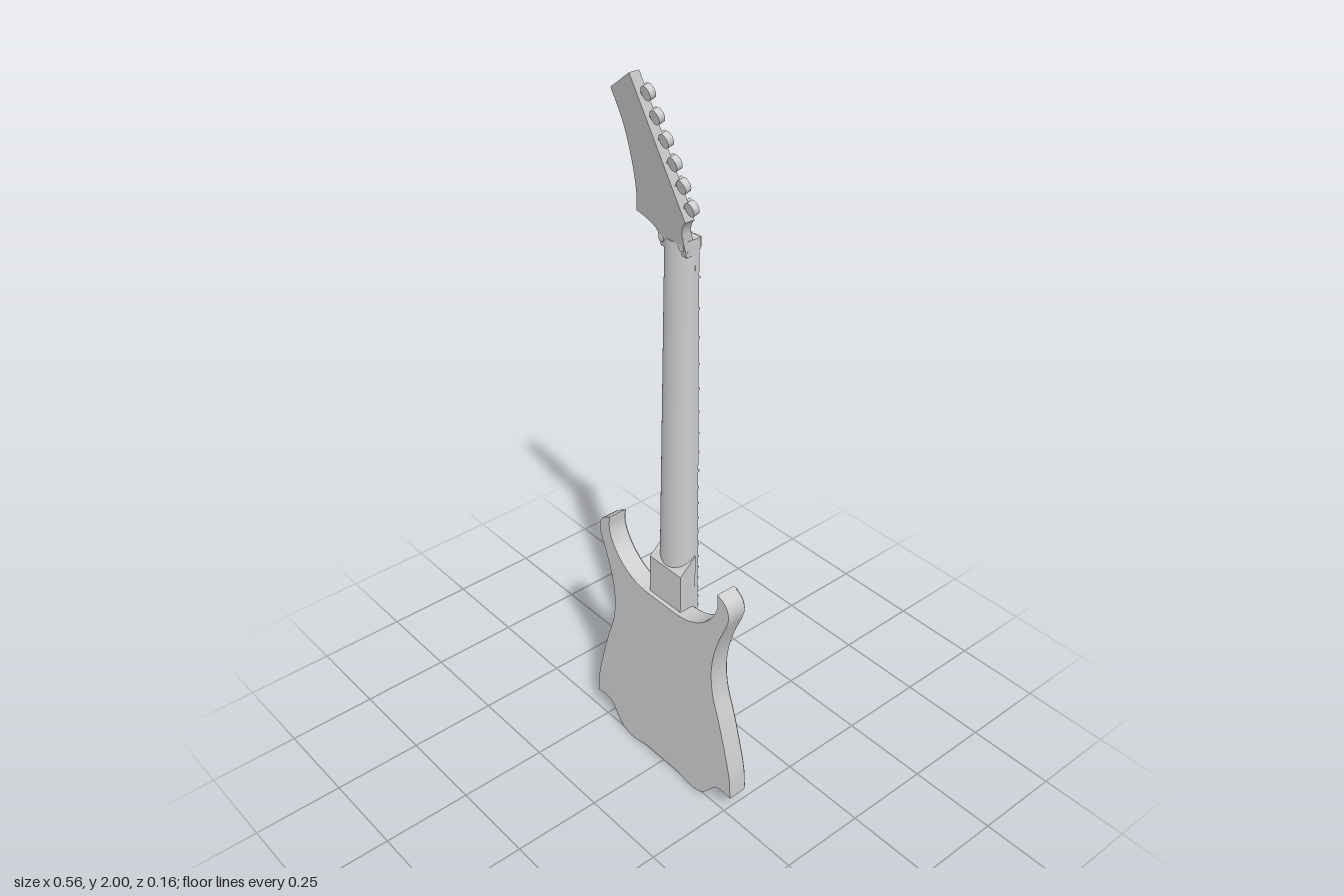
import * as THREE from 'three';
import { toCreasedNormals } from 'three/addons/utils/BufferGeometryUtils.js';

const material = new THREE.MeshStandardMaterial({ color: 0xcccccc });
const TILT = 0.25; // backward lean of the headstock, z per y

function add(parent, name, geometry, x = 0, y = 0, z = 0) {
  const mesh = new THREE.Mesh(geometry, material);
  mesh.name = name;
  mesh.position.set(x, y, z);
  parent.add(mesh);
  return mesh;
}

// Box given by its limits on each axis
function block(parent, name, x0, x1, y0, y1, z0, z1) {
  return add(parent, name, new THREE.BoxGeometry(x1 - x0, y1 - y0, z1 - z0),
    (x0 + x1) / 2, (y0 + y1) / 2, (z0 + z1) / 2);
}

// Cylinder lying along z; r0 at the -z end, r1 at the +z end
function pin(parent, name, r0, r1, x, y, z0, z1, sides = 12) {
  const g = new THREE.CylinderGeometry(r1, r0, z1 - z0, sides).rotateX(Math.PI / 2);
  return add(parent, name, g, x, y, (z0 + z1) / 2);
}

const polygon = pts => new THREE.Shape(pts.map(p => new THREE.Vector2(p[0], p[1])));
const slab = (shape, depth, opts = {}) =>
  new THREE.ExtrudeGeometry(shape, { depth, bevelEnabled: false, curveSegments: 8, ...opts });

// Symmetric body outline from smooth runs that meet at sharp corners
function bodyShape() {
  const runs = [
    [[0.065, 0.016], [0.09, 0.01], [0.13, 0.004], [0.17, 0.018], [0.195, 0.045], [0.22, 0.075], [0.245, 0.083], [0.28, 0.08]],
    [[0.28, 0.08], [0.274, 0.15], [0.253, 0.235], [0.228, 0.32], [0.203, 0.395], [0.195, 0.465], [0.203, 0.535], [0.225, 0.605], [0.253, 0.68], [0.243, 0.715], [0.211, 0.735]],
    [[0.211, 0.735], [0.211, 0.69], [0.185, 0.64], [0.145, 0.603], [0.1, 0.582], [0.06, 0.576]],
  ];
  const half = [];
  for (const run of runs) {
    const curve = new THREE.CatmullRomCurve3(run.map(p => new THREE.Vector3(p[0], p[1], 0)));
    const pts = curve.getPoints(run.length * 3);
    half.push(...(half.length ? pts.slice(1) : pts).map(p => [p.x, p.y]));
  }
  return polygon([...half, ...half.slice().reverse().map(([x, y]) => [-x, y])]);
}

function buildBody(root) {
  const body = new THREE.Group();
  body.name = 'body';
  root.add(body);
  const outline = bodyShape();
  add(body, 'bodySlab', toCreasedNormals(slab(outline, 0.049), 0.5), 0, 0, -0.041);
  // Rounded edge around the playing face
  const face = slab(outline, 0.001, {
    bevelEnabled: true, bevelThickness: 0.012, bevelSize: 0.011, bevelOffset: -0.011, bevelSegments: 3,
  });
  add(body, 'bodyFace', toCreasedNormals(face, 0.5), 0, 0, -0.041);
}

function buildNeck(root) {
  const neck = new THREE.Group();
  neck.name = 'neck';
  root.add(neck);
  // Half-round back, tapering towards the nut
  const shaft = new THREE.CylinderGeometry(0.045, 0.058, 0.92, 24, 1, false, -Math.PI / 2, Math.PI);
  shaft.scale(1, 1, 0.8);
  add(neck, 'neckShaft', shaft, 0, 1.14, -0.054);
  // Heel with a sloping upper end, drawn in profile (z, y)
  const heel = slab(polygon([[-0.054, 0.56], [-0.004, 0.56], [-0.004, 0.69], [-0.054, 0.735]]), 0.12);
  heel.rotateY(-Math.PI / 2);
  add(neck, 'heel', heel, 0.06, 0, 0);

  const halfWidth = y => 0.06 - (y - 0.45) * 0.013;
  const board = polygon([[-halfWidth(0.45), 0.45], [halfWidth(0.45), 0.45], [halfWidth(1.59), 1.59], [-halfWidth(1.59), 1.59]]);
  add(neck, 'fretboard', slab(board, 0.012), 0, 0, -0.065);
  for (let i = 1; i <= 24; i++) {
    const y = 0.095 + 1.5 * Math.pow(2, -i / 12);
    const w = halfWidth(y);
    block(neck, 'fret', -w, w, y - 0.0025, y + 0.0025, -0.0685, -0.064);
  }
  // Clamping nut: base, three pads with screws, two bolts at the back
  block(neck, 'nut', -0.047, 0.047, 1.582, 1.61, -0.068, -0.03);
  for (const x of [-0.03, 0, 0.03]) {
    block(neck, 'nutClamp', x - 0.012, x + 0.012, 1.583, 1.608, -0.074, -0.066);
    pin(neck, 'nutScrew', 0.005, 0.005, x, 1.596, -0.077, -0.072, 8);
  }
  for (const x of [-0.034, 0.034]) pin(neck, 'nutBolt', 0.009, 0.009, x, 1.593, -0.05, -0.02);
}

function buildHeadstock(root) {
  const head = new THREE.Group();
  head.name = 'headstock';
  root.add(head);
  const lean = y => TILT * (y - 1.6);
  const s = new THREE.Shape();
  s.moveTo(-0.042, 1.57);
  s.lineTo(0.046, 1.57);
  s.lineTo(0.046, 1.63);
  s.quadraticCurveTo(0.05, 1.655, 0.068, 1.67);
  s.lineTo(-0.016, 2.0);
  s.lineTo(-0.095, 1.945);
  s.splineThru([[-0.08, 1.87], [-0.079, 1.785], [-0.089, 1.7], [-0.106, 1.638]].map(p => new THREE.Vector2(...p)));
  s.quadraticCurveTo(-0.045, 1.625, -0.042, 1.605);
  const plate = slab(s, 0.027);
  // Shear the flat plate so that it leans back
  const p = plate.attributes.position;
  for (let i = 0; i < p.count; i++) p.setZ(i, p.getZ(i) - 0.047 + lean(p.getY(i)));
  add(head, 'headPlate', toCreasedNormals(plate, 0.5));

  // Six tuners along the straight edge
  const edgeTurn = Math.atan2(0.247, 0.969);
  for (let i = 0; i < 6; i++) {
    const t = i / 5;
    const tuner = new THREE.Group();
    tuner.name = 'tuner';
    tuner.position.set(0.016 + 0.068 * t, 1.962 - 0.253 * t, 0);
    tuner.position.z = -0.034 + lean(tuner.position.y);
    tuner.rotation.set(Math.atan(TILT), 0, edgeTurn);
    head.add(tuner);
    const shaft = new THREE.CylinderGeometry(0.004, 0.004, 0.045, 8).rotateZ(Math.PI / 2);
    add(tuner, 'tunerShaft', shaft, -0.02, 0, 0);
    pin(tuner, 'tunerButton', 0.016, 0.016, 0.001, 0, -0.008, 0.008, 10).scale.set(0.95, 1.1, 1);
    pin(tuner, 'tunerCollar', 0.01, 0.01, -0.041, 0, -0.018, -0.01);
    pin(tuner, 'tunerPost', 0.005, 0.006, -0.041, 0, -0.03, -0.015, 10);
  }
}

function buildHardware(root) {
  const hardware = new THREE.Group();
  hardware.name = 'hardware';
  root.add(hardware);
  // Pickups
  for (const [y0, y1, z] of [[0.39, 0.449, -0.064], [0.262, 0.325, -0.062]]) {
    block(hardware, 'pickupRing', -0.066, 0.066, y0, y1, z + 0.004, -0.05);
    block(hardware, 'pickup', -0.058, 0.058, y0 + 0.008, y1 - 0.008, z, -0.05);
  }
  // Bridge with six saddles and fine-tuning screws
  block(hardware, 'bridgePlate', -0.066, 0.066, 0.18, 0.25, -0.061, -0.05);
  block(hardware, 'bridgeBar', -0.066, 0.066, 0.185, 0.2, -0.077, -0.06);
  for (let i = 0; i < 6; i++) {
    const x = (i - 2.5) * 0.02;
    block(hardware, 'saddle', x - 0.008, x + 0.008, 0.2, 0.238, -0.071, -0.06);
    pin(hardware, 'saddleScrew', 0.005, 0.005, x, 0.192, -0.081, -0.076, 8);
    const tail = new THREE.CylinderGeometry(0.004, 0.004, 0.022, 8);
    add(hardware, 'fineTuner', tail, x, 0.175, -0.069);
  }
  // Four control knobs
  for (const [x, y] of [[-0.127, 0.265], [-0.19, 0.243], [-0.141, 0.192], [-0.203, 0.174]]) {
    pin(hardware, 'knobCap', 0.019, 0.026, x, y, -0.08, -0.058, 16);
    pin(hardware, 'knobBase', 0.018, 0.018, x, y, -0.06, -0.05, 16);
  }
}

export function createModel() {
  const guitar = new THREE.Group();
  guitar.name = 'electricGuitar';
  buildBody(guitar);
  buildNeck(guitar);
  buildHeadstock(guitar);
  buildHardware(guitar);
  return guitar;
}
